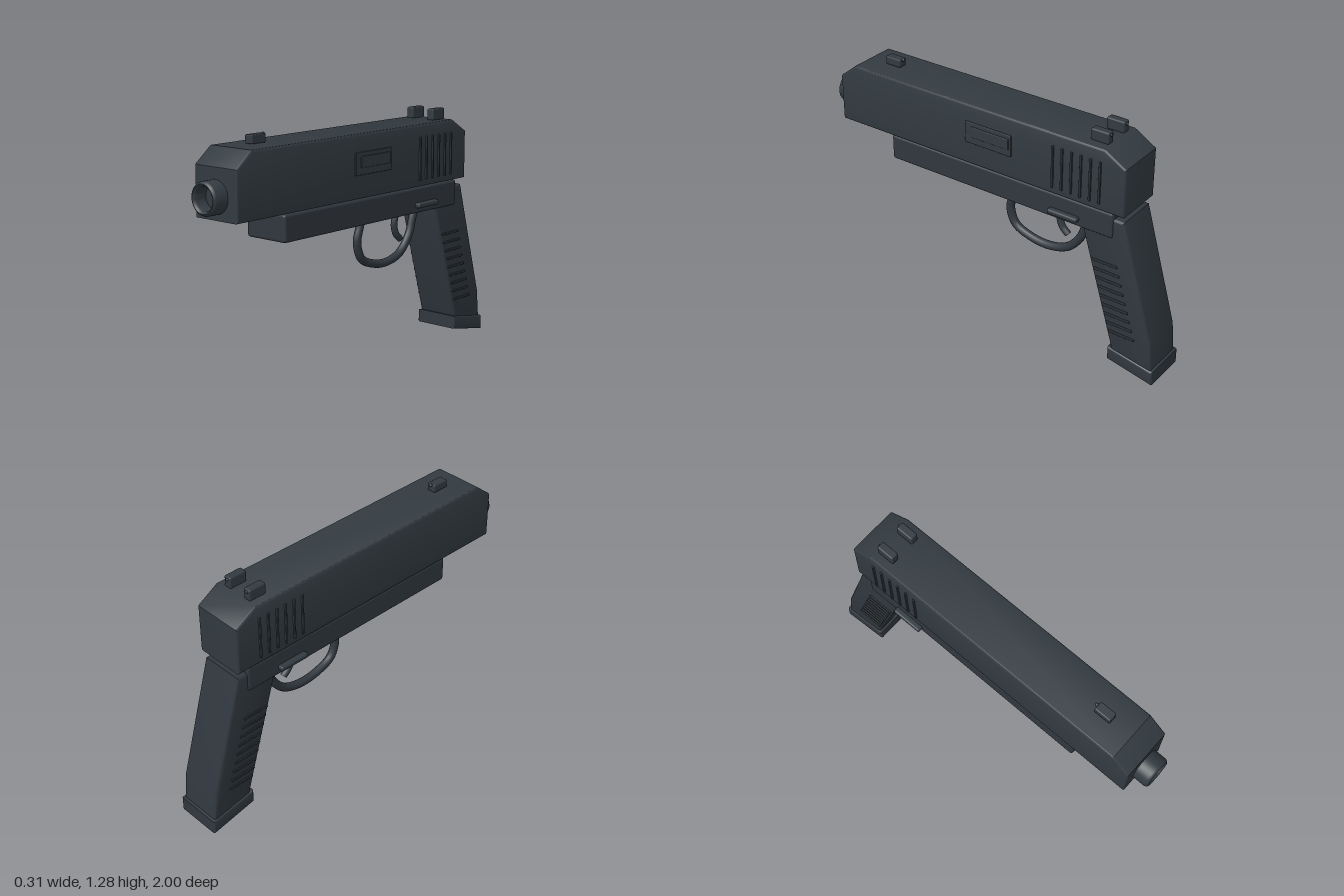
import * as THREE from 'three';
import { RoundedBoxGeometry } from 'three/addons/geometries/RoundedBoxGeometry.js';
import { toCreasedNormals } from 'three/addons/utils/BufferGeometryUtils.js';

export function createModel() {
  const model = new THREE.Group();
  model.name = 'pistol';
  const steel = new THREE.MeshStandardMaterial({ name: 'slide steel', color: 0x323a40 });
  const polymer = new THREE.MeshStandardMaterial({ name: 'frame polymer', color: 0x30373e });

  function add(name, geometry, material, x = 0, y = 0, z = 0) {
    const mesh = new THREE.Mesh(geometry, material);
    mesh.name = name;
    mesh.position.set(x, y, z);
    model.add(mesh);
    return mesh;
  }

  // Side profile given as [z, y] corners, extruded across x with bevelled edges
  function slab(name, corners, halfWidth, bevel, material) {
    const shape = new THREE.Shape(corners.map(([z, y]) => new THREE.Vector2(-z, y)));
    const depth = 2 * (halfWidth - bevel);
    const geometry = new THREE.ExtrudeGeometry(shape, {
      depth, bevelEnabled: true, bevelSize: bevel, bevelThickness: bevel,
      bevelOffset: -bevel, bevelSegments: 3,
    });
    geometry.translate(0, 0, -depth / 2).rotateY(Math.PI / 2);
    add(name, toCreasedNormals(geometry, 0.6), material);
  }

  const box = (name, size, position, radius, material) =>
    add(name, new RoundedBoxGeometry(...size, 2, radius), material, ...position);

  // Rod along a smooth [z, y] path in the middle plane, with closed ends
  function rod(name, path, radius, material) {
    const curve = new THREE.CatmullRomCurve3(path.map(([z, y]) => new THREE.Vector3(0, y, z)));
    add(name, new THREE.TubeGeometry(curve, 48, radius, 14), material);
    for (const t of [0, 1]) {
      const cap = add(name + 'End', new THREE.CircleGeometry(radius, 14), material);
      const p = curve.getPointAt(t);
      const dir = curve.getTangentAt(t).multiplyScalar(t ? 1 : -1);
      cap.position.copy(p);
      cap.lookAt(p.clone().add(dir));
    }
  }

  // Slide with sloped front and rear top corners
  slab('slide', [[0.918, 0.895], [-0.797, 0.895], [-0.797, 1.15], [-0.68, 1.22],
    [0.82, 1.22], [0.918, 1.142]], 0.137, 0.01, steel);

  // Hollow barrel with a rounded lip
  const barrel = new THREE.LatheGeometry([
    [0.081, 0.85], [0.081, 0.985], [0.076, 0.996], [0.069, 1], [0.062, 0.996],
    [0.057, 0.985], [0.057, 0.925], [0, 0.925],
  ].map(([r, z]) => new THREE.Vector2(r, z)), 40);
  barrel.rotateX(Math.PI / 2);
  add('barrel', toCreasedNormals(barrel, 0.9), steel, 0, 1.005, 0);

  // Frame rail below the slide, with a narrow joining strip
  box('frame', [0.252, 0.137, 1.335], [0, 0.822, -0.0675], 0.014, polymer);
  box('frameJoint', [0.2, 0.04, 1.2], [0, 0.89, -0.09], 0.005, polymer);

  // Grip and magazine base
  slab('grip', [[-0.56, 0.77], [-0.76, 0.1], [-0.984, 0.07], [-0.968, 0.235],
    [-0.79, 0.858], [-0.56, 0.858]], 0.118, 0.014, polymer);
  slab('magazineBase', [[-0.738, 0.126], [-0.738, 0.054], [-0.996, 0.002],
    [-0.996, 0.08]], 0.126, 0.01, polymer);

  // Trigger guard and trigger
  rod('triggerGuard', [[-0.105, 0.78], [-0.082, 0.71], [-0.062, 0.635], [-0.095, 0.545],
    [-0.19, 0.502], [-0.30, 0.492], [-0.41, 0.525], [-0.485, 0.61], [-0.52, 0.71],
    [-0.55, 0.78]], 0.022, polymer);
  rod('trigger', [[-0.395, 0.78], [-0.37, 0.725], [-0.362, 0.675], [-0.378, 0.63],
    [-0.412, 0.598]], 0.018, steel);

  for (const side of [-1, 1]) {
    // Slide grip serrations
    for (let i = 0; i < 6; i++) {
      box('slideSerration', [0.02, 0.225, 0.011], [side * 0.136, 1.042, -0.4 - i * 0.0525], 0.003, steel);
    }
    // Horizontal ribs following the rake of the grip
    for (let i = 0; i < 9; i++) {
      box('gripRib', [0.02, 0.012, 0.145], [side * 0.115, 0.603 - i * 0.0475, -0.695 - i * 0.0143], 0.003, polymer);
    }
    box('slideLever', [0.04, 0.027, 0.17], [side * 0.135, 0.797, -0.465], 0.01, steel);

    // Rear sight posts with a small dot on the back
    box('rearSight', [0.043, 0.06, 0.098], [side * 0.0675, 1.25, -0.622], 0.008, steel);
    add('rearSightDot', new THREE.SphereGeometry(0.008, 12, 8), steel, side * 0.0675, 1.265, -0.67);
  }

  // Front sight
  box('frontSight', [0.048, 0.043, 0.092], [0, 1.245, 0.66], 0.006, steel);
  add('frontSightDot', new THREE.SphereGeometry(0.009, 12, 8), steel, 0, 1.262, 0.61);

  // Ejection port cover on the left side
  box('ejectionPort', [0.02, 0.115, 0.275], [0.134, 1.072, -0.025], 0.004, steel);
  box('ejectionPortCover', [0.02, 0.058, 0.225], [0.139, 1.08, -0.037], 0.004, steel);

  return model;
}
